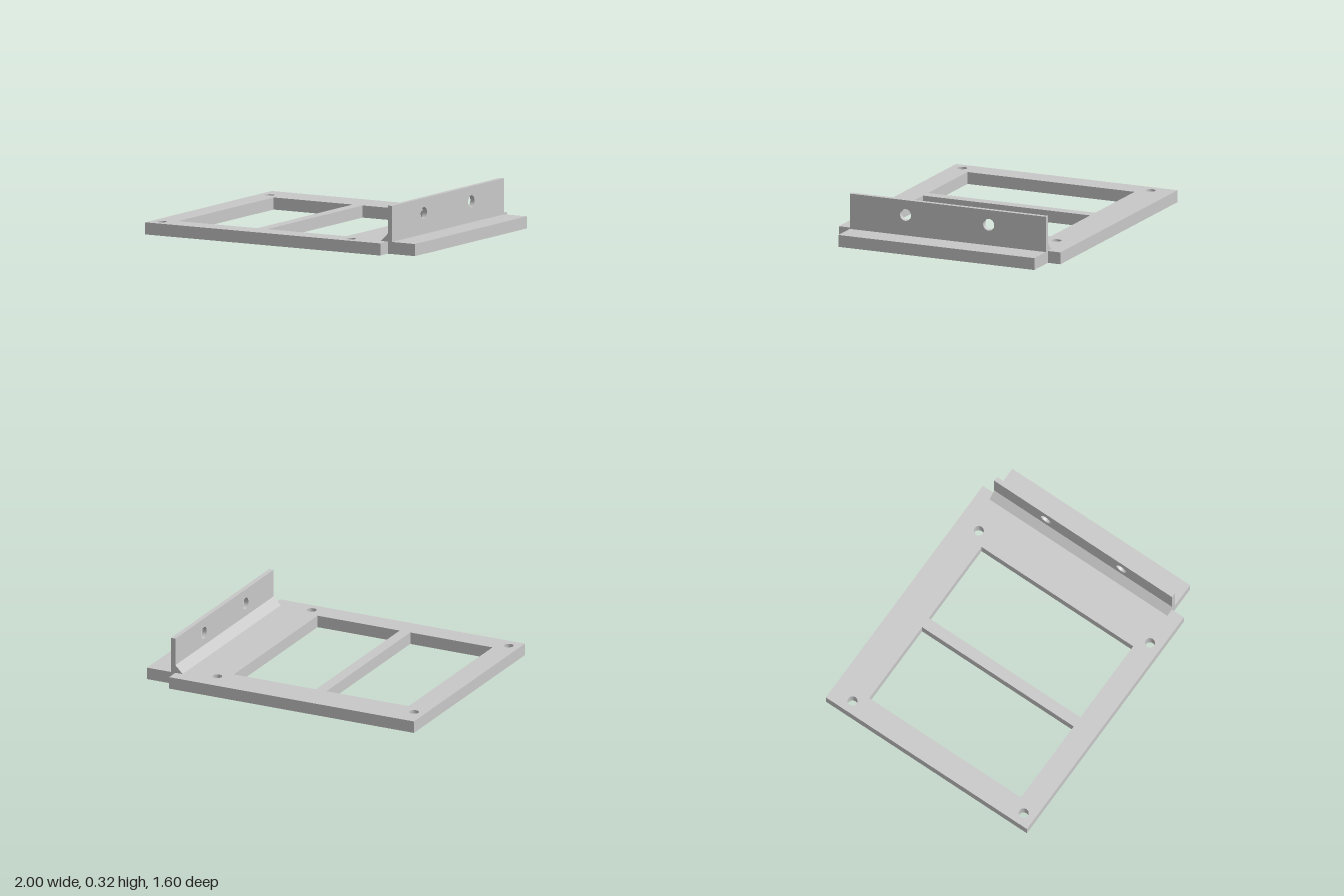
import * as THREE from 'three';
import { toCreasedNormals } from 'three/addons/utils/BufferGeometryUtils.js';

const THICK = 0.08;        // base plate thickness
const BACK = -0.71, FRONT = 0.705; // z range of the flange and its ledge
const WALL_X = 0.793, WALL_T = 0.032;

const polygon = (pts) => new THREE.Shape(pts.map(([x, y]) => new THREE.Vector2(x, y)));

function roundHole(x, y, r) {
  const path = new THREE.Path();
  path.absarc(x, y, r, 0, Math.PI * 2, true);
  return path;
}

function rectHole(x0, x1, y0, y1) {
  return new THREE.Path([[x0, y0], [x0, y1], [x1, y1], [x1, y0]].map(([x, y]) => new THREE.Vector2(x, y)));
}

function extrude(shape, depth) {
  return new THREE.ExtrudeGeometry(shape, { depth, bevelEnabled: false, curveSegments: 20 });
}

export function createModel() {
  const group = new THREE.Group();
  group.name = 'mountingPlate';
  const grey = new THREE.MeshStandardMaterial({ color: 0xc8c8c8 });
  grey.name = 'lightGrey';

  const add = (name, geometry) => {
    const mesh = new THREE.Mesh(toCreasedNormals(geometry, 0.6), grey);
    mesh.name = name;
    group.add(mesh);
  };

  // Base plate with the narrower ledge on its left side; shape y is -z
  const base = polygon([
    [-1, -0.8], [WALL_X, -0.8], [WALL_X, -FRONT], [1, -FRONT],
    [1, -BACK], [WALL_X, -BACK], [WALL_X, 0.8], [-1, 0.8],
  ]);
  // Two windows with a thin bar between them
  for (const x of [-0.842, -0.163]) base.holes.push(rectHole(x, x + 0.602, -0.643, 0.564));
  // Four screw holes
  for (const x of [-0.921, 0.521]) {
    for (const z of [-0.643, 0.719]) base.holes.push(roundHole(x, -z, 0.033));
  }
  add('basePlate', extrude(base, THICK).rotateX(-Math.PI / 2));

  // Upright flange with two holes; shape x is -z
  const wall = polygon([[-FRONT, THICK], [-BACK, THICK], [-BACK, 0.318], [-FRONT, 0.318]]);
  for (const z of [-0.298, 0.303]) wall.holes.push(roundHole(-z, 0.219, 0.04));
  add('uprightFlange', extrude(wall, WALL_T).rotateY(Math.PI / 2).translate(WALL_X, 0, 0));

  // Sloped brace along the inner foot of the flange
  const brace = polygon([[0.74, THICK], [WALL_X, THICK], [WALL_X, 0.133]]);
  add('flangeBrace', extrude(brace, FRONT - BACK).translate(0, 0, BACK));

  return group;
}
